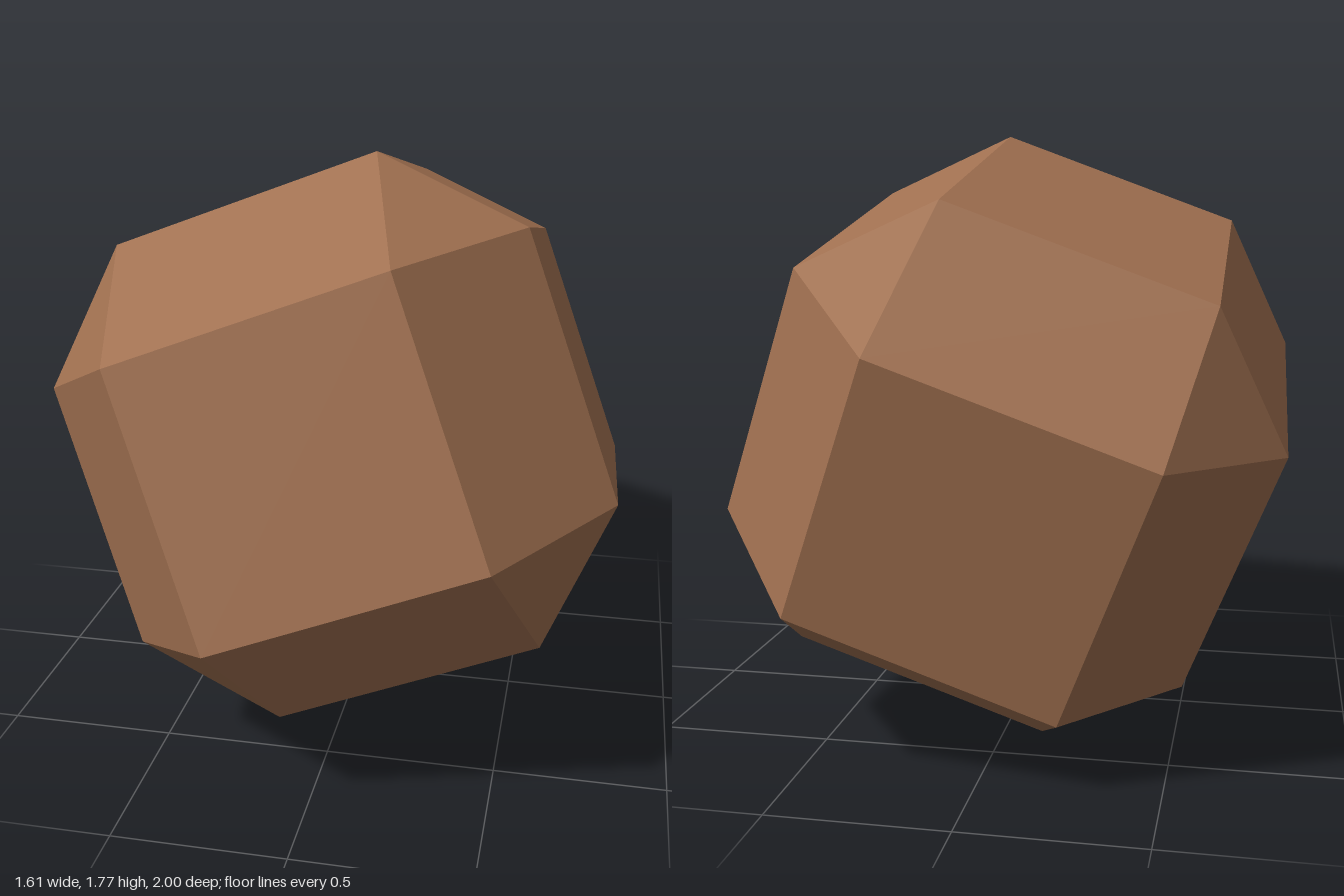
import * as THREE from 'three';
import { ConvexGeometry } from 'three/addons/geometries/ConvexGeometry.js';

// Box with chamfered edges and corners: outer half sizes and flat-face half sizes
function chamferedBox(outer, flat) {
  const points = [];
  for (const sx of [-1, 1]) for (const sy of [-1, 1]) for (const sz of [-1, 1]) {
    const signs = [sx, sy, sz];
    // each corner is cut into three points, one on each neighbouring face
    for (let axis = 0; axis < 3; axis++) {
      const p = signs.map((s, i) => s * (i === axis ? outer[i] : flat[i]));
      points.push(new THREE.Vector3(...p));
    }
  }
  return new ConvexGeometry(points);
}

export function createModel() {
  const group = new THREE.Group();
  group.name = 'rock';

  const brown = new THREE.MeshStandardMaterial({ color: 0xa07050, flatShading: true });
  brown.name = 'earthBrown';

  // Stone block, tilted so that it rests on one low corner
  const stone = new THREE.Mesh(chamferedBox([0.707, 0.707, 0.915], [0.387, 0.387, 0.503]), brown);
  stone.name = 'stone';
  const w = new THREE.Vector3(0.008, 0.209, 0.978).normalize();
  const u = new THREE.Vector3(0.934, 0.350, -0.082);
  u.addScaledVector(w, -u.dot(w)).normalize();
  const v = new THREE.Vector3().crossVectors(w, u);
  stone.quaternion.setFromRotationMatrix(new THREE.Matrix4().makeBasis(u, v, w));
  stone.position.y = 0.885;
  group.add(stone);

  return group;
}
